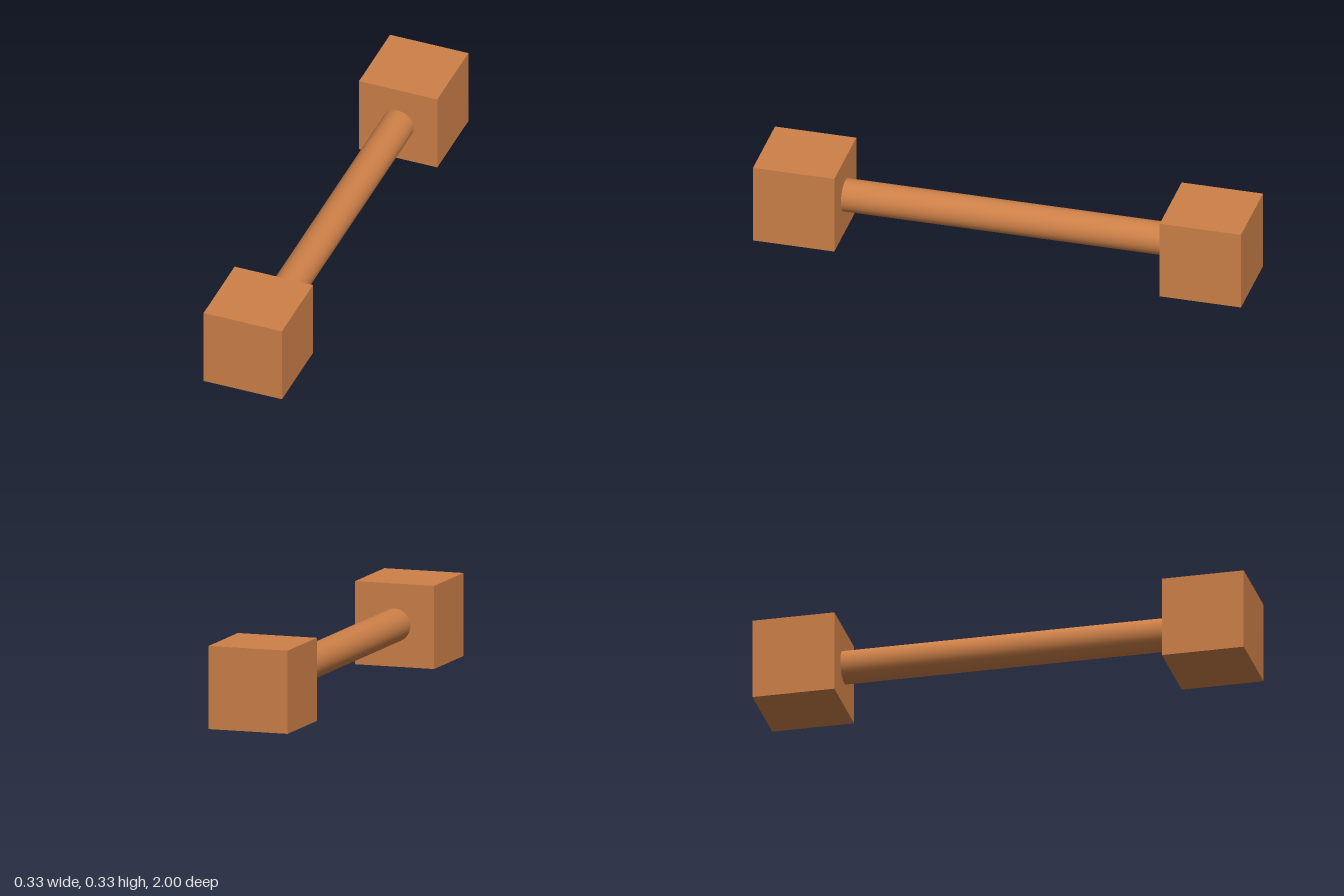
import * as THREE from 'three';

export function createModel() {
  const model = new THREE.Group();
  model.name = 'dumbbell';

  const copper = new THREE.MeshStandardMaterial({ color: 0xcd8048 });
  copper.name = 'copper brown';

  const size = 1 / 3; // edge of each end block
  const midY = size / 2;

  // Cube weights at both ends
  const blockGeometry = new THREE.BoxGeometry(size, size, size);
  for (const [name, side] of [['frontBlock', 1], ['backBlock', -1]]) {
    const block = new THREE.Mesh(blockGeometry, copper);
    block.name = name;
    block.position.set(0, midY, side * (1 - size / 2));
    model.add(block);
  }

  // Round bar joining the inner faces of the blocks
  const barGeometry = new THREE.CylinderGeometry(size / 5, size / 5, 2 - 2 * size, 32, 1, true);
  barGeometry.rotateX(Math.PI / 2);
  const bar = new THREE.Mesh(barGeometry, copper);
  bar.name = 'bar';
  bar.position.y = midY;
  model.add(bar);

  return model;
}
